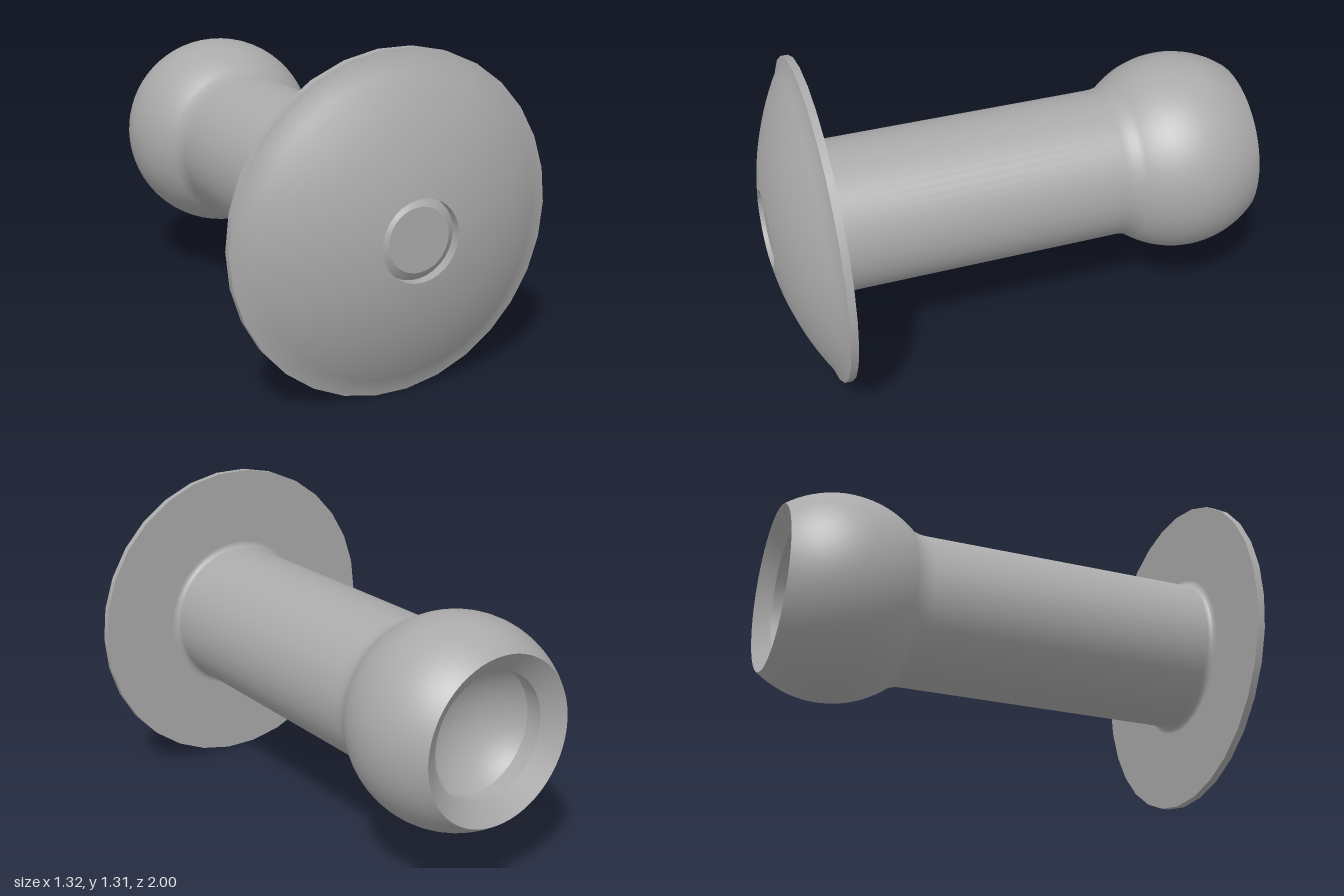
import * as THREE from 'three';

const CENTRE_Y = 0.656;

// points along a circular arc, as [radius, z] pairs about centre z = c
function arc(R, c, a0, a1, n, r0 = 0) {
  const pts = [];
  for (let i = 0; i <= n; i++) {
    const a = a0 + (a1 - a0) * i / n;
    pts.push([r0 + R * Math.cos(a), c + R * Math.sin(a)]);
  }
  return pts;
}

export function createModel() {
  const model = new THREE.Group();
  const grey = new THREE.MeshStandardMaterial({ color: 0xaaaaaa });
  grey.name = 'plain grey';

  // each smooth run of the profile is its own turned surface, so edges stay sharp
  function turn(name, profile, segments) {
    const geo = new THREE.LatheGeometry(
      profile.map(([r, z]) => new THREE.Vector2(Math.max(r, 0), z)), segments, Math.PI / 2);
    geo.rotateX(Math.PI / 2);
    geo.translate(0, CENTRE_Y, 0);
    const mesh = new THREE.Mesh(geo, grey);
    mesh.name = name;
    model.add(mesh);
  }

  // flange: flat back, thin rim and domed front
  const F = 30, S = 60;
  turn('flangeBack', [[0.3, 0.79], [0.66, 0.79]], F);
  turn('flangeRim', [[0.66, 0.79], [0.66, 0.82]], F);
  const R = 1.17, rIn = 0.157;
  const c = 1 - Math.sqrt(R * R - rIn * rIn);
  const dome = arc(R, c, Math.acos(0.66 / R), Math.acos(rIn / R), 12);
  dome[0] = [0.66, 0.82];
  turn('flangeDome', dome, F);

  // shallow groove around a chamfered centre plug
  turn('grooveWall', [[rIn, 1], [rIn, 0.96]], F);
  turn('plugChamfer', [[rIn, 0.96], [0.123, 0.985]], F);
  turn('plugFace', [[0.123, 0.985], [0, 0.985]], F);

  // ball head, blended into the shaft, with a fillet against the flange
  const ballR = 0.417, ballZ = -0.75;
  const ball = arc(ballR, ballZ, -Math.asin(0.25 / ballR), 0.69, 24);
  turn('ballAndShaft', [
    ...ball,
    [0.314, -0.458], [0.311, -0.44], [0.31, -0.42], [0.31, 0.765],
    ...arc(0.025, 0.765, Math.PI, Math.PI / 2, 5, 0.335).slice(1),
  ], S);

  // countersunk socket in the ball end with a dished floor
  const mouth = ball[0][0], hole = 0.253;
  turn('socketCountersink', [[hole, -0.94], [mouth, -1]], S);
  turn('socketWall', [[hole, -0.87], [hole, -0.94]], S);
  const dishR = 0.31, half = Math.asin(hole / dishR);
  const dishC = -0.87 - dishR * Math.cos(half);
  turn('socketFloor', arc(dishR, dishC, Math.PI / 2, Math.PI / 2 - half, 10), S);

  return model;
}
